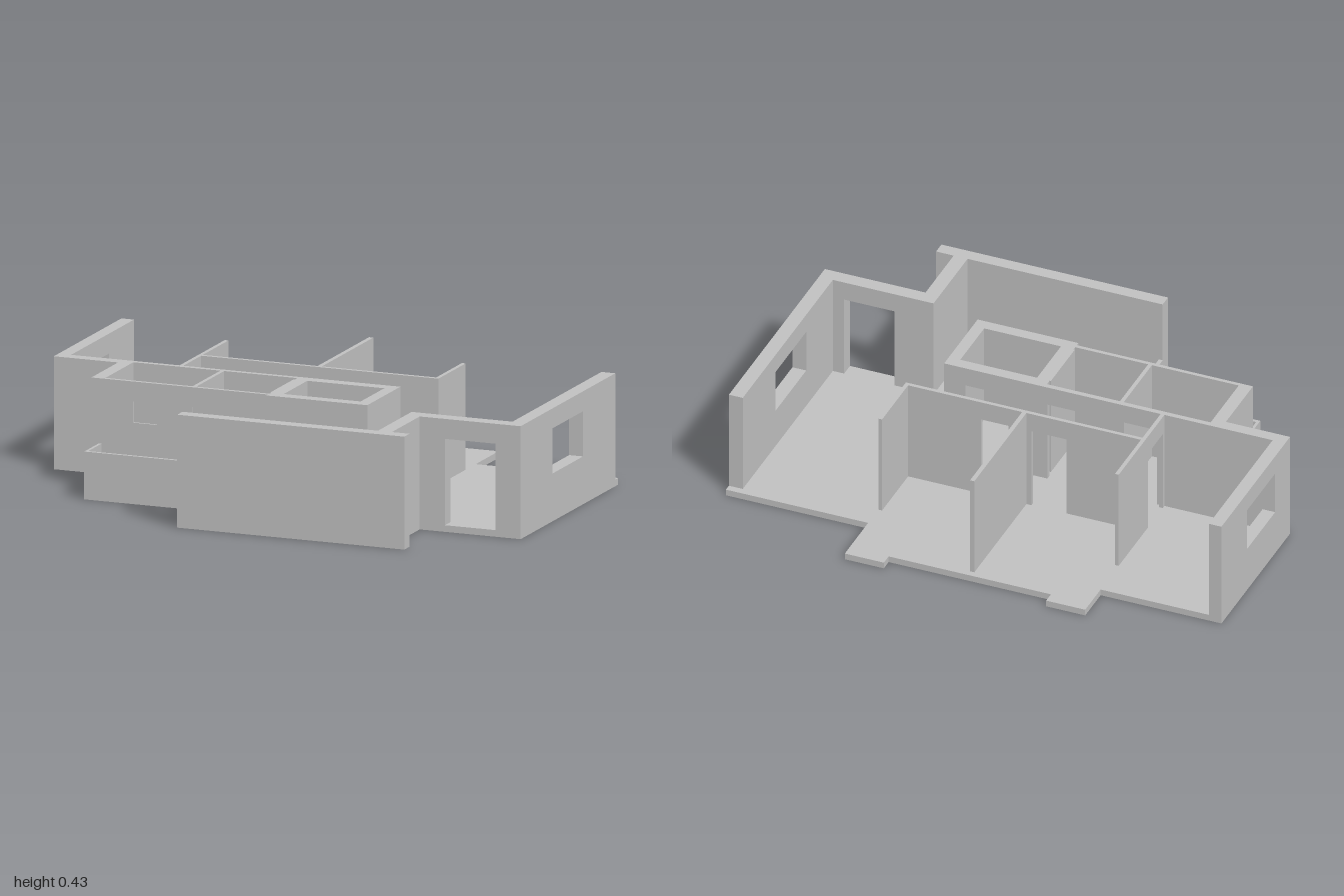
import * as THREE from 'three';

const FLOOR = 0.025, TOP = 0.425, HEAD = 0.35;

export function createModel() {
  const model = new THREE.Group();
  model.name = 'apartmentShell';
  const plaster = new THREE.MeshStandardMaterial({ color: 0xc0c0c0 });
  plaster.name = 'plaster grey';

  const add = (name, geometry) => {
    const mesh = new THREE.Mesh(geometry, plaster);
    mesh.name = name;
    model.add(mesh);
    return mesh;
  };

  // Upright panel from a to b, with openings [a0, a1, y0, y1]
  const panel = (a, b, thickness, openings, top) => {
    const shape = new THREE.Shape();
    shape.moveTo(a, 0).lineTo(b, 0).lineTo(b, top).lineTo(a, top).closePath();
    for (const [p, q, y0, y1] of openings) {
      const hole = new THREE.Path();
      hole.moveTo(p, y0).lineTo(p, y1).lineTo(q, y1).lineTo(q, y0).closePath();
      shape.holes.push(hole);
    }
    return new THREE.ExtrudeGeometry(shape, { depth: thickness, bevelEnabled: false });
  };
  // Wall running along x
  const wallX = (name, x0, x1, z0, z1, openings = [], top = TOP) =>
    add(name, panel(x0, x1, z1 - z0, openings, top).translate(0, 0, z0));
  // Wall running along z
  const wallZ = (name, z0, z1, x0, x1, openings = [], top = TOP) => {
    const flipped = openings.map(([p, q, y0, y1]) => [-q, -p, y0, y1]);
    const g = panel(-z1, -z0, x1 - x0, flipped, top);
    return add(name, g.rotateY(Math.PI / 2).translate(x0, 0, 0));
  };
  const door = (p, q) => [p, q, FLOOR, HEAD];

  // Floor slab
  const outline = [
    [-1, -0.59], [-0.52, -0.59], [-0.52, -0.735], [-0.365, -0.735], [-0.365, -0.69],
    [0.28, -0.69], [0.28, -0.735], [0.435, -0.735], [0.435, -0.515], [1, -0.515],
    [1, 0.415], [0.6, 0.415], [0.6, 0.68], [0.67, 0.68], [0.67, 0.73], [-0.23, 0.73],
    [-0.23, 0.31], [-0.32, 0.31], [-0.32, 0.45], [-0.715, 0.45], [-0.715, 0.31],
    [-0.745, 0.31], [-0.745, 0.055], [-1, 0.055],
  ];
  const slab = new THREE.Shape(outline.map(([x, z]) => new THREE.Vector2(x, -z)));
  add('floorSlab', new THREE.ExtrudeGeometry(slab, { depth: FLOOR, bevelEnabled: false })
    .rotateX(-Math.PI / 2));

  // Outer walls
  wallZ('rightSideWall', -0.59, 0.055, -1, -0.95, [[-0.35, -0.085, 0.18, HEAD]]);
  wallX('bedroomFrontWall', -0.95, -0.695, 0.01, 0.055);
  wallZ('leftSideWall', -0.487, 0.415, 0.945, 1, [[-0.18, 0.11, 0.18, HEAD]]);
  wallX('entranceWall', 0.545, 0.945, 0.36, 0.415, [door(0.7, 0.9)]);
  wallZ('livingSideWall', 0.415, 0.68, 0.545, 0.6);
  wallX('livingFrontWall', -0.23, 0.67, 0.68, 0.73);

  // Bathroom walls
  wallZ('bathOuterWall', 0.055, 0.31, -0.745, -0.695);
  wallX('bathBackWall', -0.695, -0.045, 0.01, 0.03, [door(-0.49, -0.36), door(-0.19, -0.055)]);
  wallZ('bathPartition', 0.03, 0.295, -0.35, -0.335);
  wallX('bathFrontBacking', -0.695, -0.045, 0.295, 0.302);
  wallX('bathFrontWall', -0.695, -0.045, 0.302, 0.31,
    [[-0.58, -0.485, 0.27, HEAD], [-0.345, -0.25, 0.27, HEAD]]);

  // Thick-walled core
  wallX('coreBackWall', -0.045, 0.355, 0.01, 0.055, [door(0.1, 0.27)]);
  wallX('coreFrontWall', -0.045, 0.355, 0.28, 0.325);
  wallZ('coreRightWall', 0.055, 0.28, -0.05, 0.005);
  wallZ('coreLeftWall', 0.055, 0.28, 0.31, 0.355);

  // Room partitions
  wallX('corridorWall', -0.505, 0.42, -0.175, -0.16, [door(-0.21, -0.07), door(-0.01, 0.13)]);
  wallZ('bedroomPartition', -0.42, 0.01, -0.52, -0.505, [door(-0.145, -0.005)]);
  wallZ('middlePartition', -0.665, -0.175, -0.05, -0.033);
  wallZ('livingPartition', -0.42, -0.16, 0.42, 0.435);

  // Low parapets
  wallZ('balconySideParapet', 0.31, 0.45, -0.715, -0.704, [], 0.18);
  wallX('balconyFrontParapet', -0.704, -0.32, 0.437, 0.45, [], 0.18);
  wallZ('livingParapet', 0.31, 0.68, -0.23, -0.215, [], 0.18);

  return model;
}
